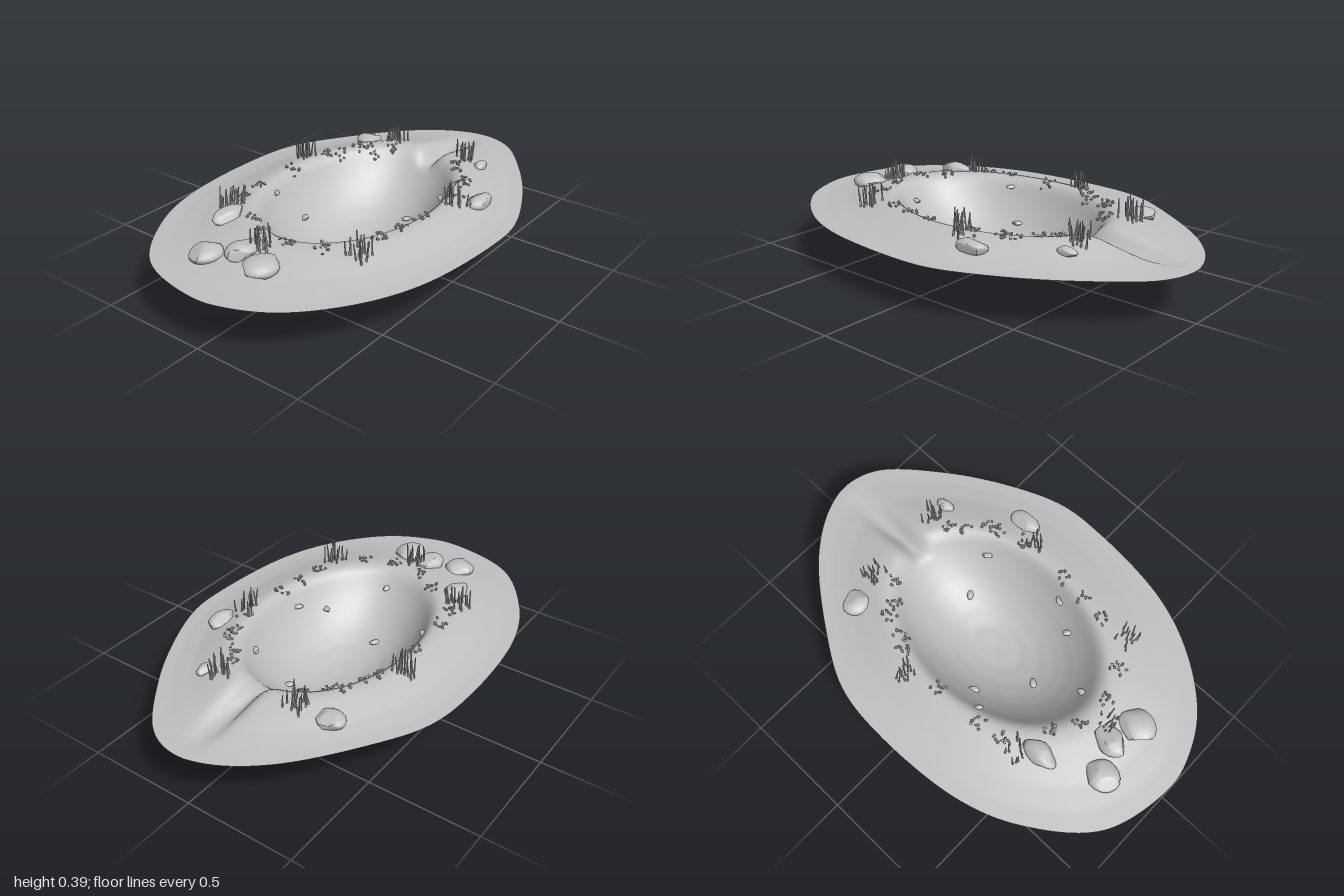
import * as THREE from 'three';
import { toCreasedNormals } from 'three/addons/utils/BufferGeometryUtils.js';

const clay = new THREE.MeshStandardMaterial({ name: 'grey clay', color: 0xc0c0c0 });
const groundClay = clay; // ground shares the colour, seen from both sides
groundClay.side = THREE.DoubleSide;

let seed = 7;
const rand = () => (seed = (seed * 16807) % 2147483647) / 2147483647;
const spread = (s) => (rand() - 0.5) * 2 * s;
const smooth = THREE.MathUtils.smoothstep;

// Outer outline of the ground (x, z), going round from +x towards +z
const outline = new THREE.CatmullRomCurve3([
  [1, 0.05], [0.95, 0.2], [0.725, 0.4], [0.48, 0.55], [0.22, 0.655], [0.03, 0.67], [-0.4, 0.62],
  [-0.665, 0.505], [-0.88, 0.32], [-0.975, 0.14], [-1, 0], [-0.92, -0.32], [-0.665, -0.54],
  [-0.4, -0.645], [0.03, -0.68], [0.3, -0.645], [0.54, -0.515], [0.83, -0.29], [0.965, -0.1],
].map(([x, z]) => new THREE.Vector3(x, 0, z)), true).getPoints(500);
const fullTurn = (a) => (a + Math.PI * 4) % (Math.PI * 2);
const polar = outline.map((p) => [fullTurn(Math.atan2(p.z, p.x)), Math.hypot(p.x, p.z)])
  .sort((a, b) => a[0] - b[0]);

function outerRadius(angle) {
  const a = fullTurn(angle);
  const i = polar.findIndex((p) => p[0] >= a);
  if (i <= 0) return polar[i < 0 ? polar.length - 1 : 0][1];
  const [a0, r0] = polar[i - 1], [a1, r1] = polar[i];
  return r0 + (r1 - r0) * (a - a0) / Math.max(a1 - a0, 1e-6);
}
const bowlRadius = (a) => 1 / Math.hypot(Math.cos(a) / 0.5, Math.sin(a) / 0.34);

// Height profiles: bowl by fraction of its radius, bank by fraction from rim to outline
const RIM = 1.12;
const bowl = [[0, 0], [0.25, 0.008], [0.45, 0.035], [0.6, 0.07], [0.72, 0.108], [0.85, 0.165],
  [0.95, 0.22], [1, 0.255], [1.05, 0.281], [RIM, 0.29]];
const bank = [[0, 0.29], [0.12, 0.287], [0.3, 0.27], [0.55, 0.245], [0.8, 0.23], [1, 0.225]];
function profile(points, t) {
  const i = Math.max(1, points.findIndex((p) => p[0] >= t - 1e-9));
  const [a, b] = [points[i - 1], points[i]];
  return THREE.MathUtils.lerp(a[1], b[1], THREE.MathUtils.clamp((t - a[0]) / (b[0] - a[0]), 0, 1));
}

function groundHeight(x, z) {
  const a = Math.atan2(z, x), r = Math.hypot(x, z), inner = bowlRadius(a);
  const rim = inner * RIM;
  let y = r <= rim ? profile(bowl, r / inner) : profile(bank, Math.min(1, (r - rim) / (outerRadius(a) - rim)));
  // Outlet channel cut through the rim on the +x side
  const cut = 0.065 * Math.exp(-(((z - 0.025) / 0.045) ** 2)) * smooth(x, 0.44, 0.54) * (1 - smooth(x, 0.62, 0.98));
  if (cut > 0.001) y = Math.max(Math.min(y, 0.222), y - cut);
  return y;
}

// Basin and surrounding bank as one smooth sheet
function groundGeometry() {
  const N = 256, BOWL = 26, BANK = 20, rings = BOWL + BANK;
  const pos = [0, 0, 0], index = [];
  for (let j = 1; j <= rings; j++) {
    for (let i = 0; i < N; i++) {
      const a = (i / N) * Math.PI * 2, rim = bowlRadius(a) * RIM;
      const r = j <= BOWL ? rim * j / BOWL : rim + (outerRadius(a) - rim) * (j - BOWL) / BANK;
      const x = r * Math.cos(a), z = r * Math.sin(a);
      pos.push(x, groundHeight(x, z), z);
    }
  }
  for (let i = 0; i < N; i++) {
    const n = (i + 1) % N;
    index.push(0, 1 + n, 1 + i);
    for (let j = 0; j < rings - 1; j++) {
      const a = 1 + j * N + i, b = 1 + j * N + n;
      index.push(a, b, a + N, b, b + N, a + N);
    }
  }
  const g = new THREE.BufferGeometry();
  g.setAttribute('position', new THREE.Float32BufferAttribute(pos, 3));
  g.setIndex(index);
  g.computeVertexNormals();
  return g;
}

// Rounded stone with a few worn flat faces
function stoneGeometry() {
  const g = new THREE.SphereGeometry(1, 18, 12);
  const p = g.attributes.position, v = new THREE.Vector3();
  const cuts = Array.from({ length: 9 }, () => ({
    n: new THREE.Vector3(spread(1), spread(0.8), spread(1)).normalize(), d: 0.72 + rand() * 0.18,
  }));
  for (let i = 0; i < p.count; i++) {
    v.fromBufferAttribute(p, i);
    for (const { n, d } of cuts) {
      const over = v.dot(n) - d;
      if (over > 0) v.addScaledVector(n, -over);
    }
    p.setXYZ(i, v.x, v.y, v.z);
  }
  return toCreasedNormals(g, 0.6);
}

export function createModel() {
  const model = new THREE.Group();
  model.name = 'pond';
  const add = (parent, name, geometry, x, y, z) => {
    const m = new THREE.Mesh(geometry, clay);
    m.name = name;
    m.position.set(x, y, z);
    parent.add(m);
    return m;
  };
  const group = (name) => {
    const g = new THREE.Group();
    g.name = name;
    model.add(g);
    return g;
  };

  const ground = new THREE.Mesh(groundGeometry(), groundClay);
  ground.name = 'basinAndBank';
  model.add(ground);

  // Boulders on the bank: x, z, half sizes x, y, z
  const boulders = group('boulders');
  for (const [x, z, sx, sy, sz] of [
    [-0.76, -0.165, 0.085, 0.036, 0.068], [-0.69, -0.04, 0.085, 0.038, 0.06], [-0.73, 0.09, 0.088, 0.04, 0.076],
    [-0.52, -0.28, 0.085, 0.036, 0.05], [0.53, -0.335, 0.06, 0.03, 0.066], [0.575, 0.27, 0.046, 0.022, 0.03],
    [0.255, 0.46, 0.076, 0.032, 0.05],
  ]) add(boulders, 'boulder', stoneGeometry(), x, groundHeight(x, z) + sy * 0.2, z).scale.set(sx, sy, sz);

  // Pebbles on the basin wall
  const pebbles = group('pebbles');
  for (const [x, z] of [[-0.25, -0.02], [-0.09, -0.235], [-0.19, -0.31], [-0.46, 0.055],
    [-0.22, 0.235], [-0.1, 0.305], [0.285, 0.245], [0.25, 0.09]]) {
    const m = add(pebbles, 'pebble', stoneGeometry(), x, groundHeight(x, z) + 0.004, z);
    m.scale.set(0.026, 0.01, 0.015);
    m.rotation.y = spread(1);
  }

  // Tall reeds in clumps around the rim
  const reeds = group('reeds');
  const stem = new THREE.CylinderGeometry(0.0025, 0.0045, 1, 5).translate(0, 0.5, 0);
  for (const [cx, cz] of [[0.135, -0.42], [-0.44, -0.345], [-0.44, 0.34], [0.14, 0.41],
    [0.58, 0.18], [0.56, -0.185], [-0.63, 0.01]]) {
    for (let i = 0; i < 14; i++) {
      const x = cx + spread(0.038), z = cz + spread(0.045);
      const m = add(reeds, 'reed', stem, x, groundHeight(x, z) - 0.005, z);
      m.scale.y = 0.06 + rand() * 0.045;
      m.rotation.set(spread(0.14), 0, spread(0.14));
    }
  }

  // Low leafy plants along the rim
  const plants = group('rimPlants');
  const leaf = new THREE.IcosahedronGeometry(1, 0);
  for (const [cx, cz] of [[0.27, -0.32], [0.37, -0.28], [0.4, -0.22], [0.47, -0.16], [0.21, -0.35], [-0.02, -0.37],
    [-0.24, -0.36], [-0.36, -0.35], [-0.48, -0.18], [-0.55, -0.08], [-0.57, 0.08], [-0.51, 0.22], [-0.3, 0.34],
    [-0.18, 0.35], [-0.05, 0.365], [0.19, 0.375], [0.3, 0.335], [0.36, 0.32], [0.43, 0.235], [0.49, 0.2]]) {
    for (let i = 0; i < 9; i++) {
      const x = cx + spread(0.03), z = cz + spread(0.03);
      const m = add(plants, 'leaf', leaf, x, groundHeight(x, z) + 0.004 + rand() * 0.012, z);
      m.scale.set(0.009, 0.004 + rand() * 0.004, 0.006);
      m.rotation.set(spread(0.6), rand() * 6, spread(0.6));
    }
  }
  return model;
}
